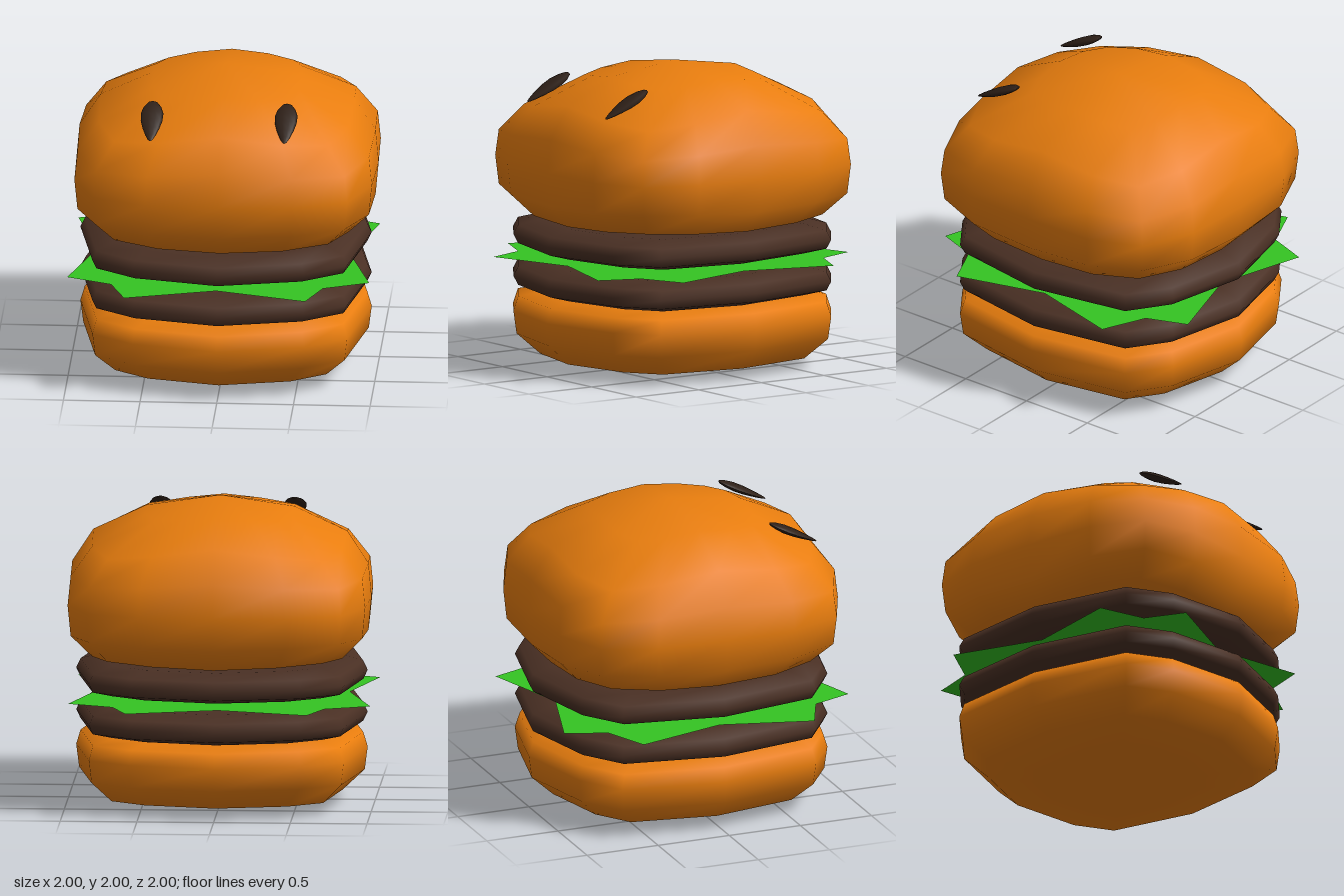
import * as THREE from 'three';

const paint = (color, extra = {}) => new THREE.MeshStandardMaterial({ color, ...extra });

// Mirrors one quadrant of outline points (from +z round to +x) into a closed ring.
function mirrorQuadrant(q) {
  const ring = [];
  for (let k = 0; k < 4; k++) {
    const pts = k % 2 ? [...q].reverse() : q;
    const sx = k < 2 ? 1 : -1;
    const sz = k === 0 || k === 3 ? 1 : -1;
    pts.slice(0, -1).forEach(([x, z]) => ring.push([x * sx, z * sz]));
  }
  return ring;
}

// Lofts an outline through levels [scale, y, corner shift], closed by a pole at each end.
function loft(outline, levels, bottomY, topY) {
  const n = outline.length;
  const pos = [];
  const index = [];
  for (const [s, y, shift = 0] of levels) {
    for (const [x, z] of outline) {
      const corner = Math.min(1, Math.min(Math.abs(x), Math.abs(z)) / 0.83);
      pos.push(x * s, y + shift * corner, z * s);
    }
  }
  const bottom = levels.length * n;
  const last = bottom - n;
  pos.push(0, bottomY, 0, 0, topY, 0);
  for (let j = 0; j < n; j++) {
    const k = (j + 1) % n;
    for (let i = 0; i < last; i += n) {
      index.push(i + j, i + k, i + n + k, i + j, i + n + k, i + n + j);
    }
    index.push(bottom, k, j, bottom + 1, last + j, last + k);
  }
  const g = new THREE.BufferGeometry();
  g.setAttribute('position', new THREE.Float32BufferAttribute(pos, 3));
  g.setIndex(index);
  g.computeVertexNormals();
  return g;
}

export function createModel() {
  const model = new THREE.Group();
  const add = (name, geometry, material, x = 0, y = 0, z = 0) => {
    const mesh = new THREE.Mesh(geometry, material);
    mesh.name = name;
    mesh.position.set(x, y, z);
    model.add(mesh);
    return mesh;
  };
  const bread = paint(0xe87d0e);
  const meat = paint(0x4a3024);
  const dark = paint(0x2e2018);
  const squareOutline = mirrorQuadrant([[0, 1], [0.48, 0.98], [0.83, 0.83], [0.97, 0.48], [0.985, 0]]);
  const roundOutline = mirrorQuadrant([[0, 1], [0.56, 0.87], [0.83, 0.68], [0.95, 0]]);

  // Domed top bun, its corners drooping slightly
  add('topBun', loft(squareOutline, [
    [0.5, 0.96], [0.84, 0.975, 0.03], [0.98, 1.12, 0.03], [1, 1.34],
    [0.98, 1.56, -0.05], [0.84, 1.77, -0.09], [0.49, 1.93, -0.04],
  ], 0.955, 2), bread, 0.01);

  // Bottom bun
  add('bottomBun', loft(roundOutline, [
    [0.49, 0.012], [0.83, 0.065], [0.98, 0.2], [1, 0.35], [0.97, 0.445], [0.78, 0.48],
  ], 0, 0.485), bread);

  // Two patties
  const pattyGeometry = loft(roundOutline, [
    [0.82, -0.1], [0.97, -0.06], [1, 0], [0.97, 0.06], [0.82, 0.1],
  ], -0.11, 0.11);
  add('lowerPatty', pattyGeometry, meat, 0, 0.58);
  add('upperPatty', pattyGeometry, meat, 0, 0.855);

  // Flat lettuce leaf with pointed corners
  const leaf = mirrorQuadrant([[0, 0.82], [0.59, 1], [0.69, 0.73], [0.985, 0.6], [0.82, 0]]);
  const leafShape = new THREE.Shape(leaf.map(([x, z]) => new THREE.Vector2(x, -z)));
  const leafGeometry = new THREE.ShapeGeometry(leafShape).rotateX(-Math.PI / 2);
  add('lettuce', leafGeometry, paint(0x35c422, { side: THREE.DoubleSide }), -0.015, 0.71);

  // Teardrop eyes lying on the dome, blunt at the back and pointed at the front
  const eyeGeometry = new THREE.SphereGeometry(1, 10, 8).rotateX(Math.PI / 2);
  const p = eyeGeometry.attributes.position;
  for (let i = 0; i < p.count; i++) {
    const z = p.getZ(i);
    const taper = z > -0.3 ? 1 - 0.4 * (z + 0.3) : 1;
    p.setXYZ(i, p.getX(i) * 0.08 * taper, p.getY(i) * 0.028 * taper, z * 0.185);
  }
  eyeGeometry.computeVertexNormals();
  for (const [name, x] of [['leftEye', 0.43], ['rightEye', -0.445]]) {
    add(name, eyeGeometry, dark, x, 1.82, 0.675).rotation.x = 0.46;
  }
  return model;
}
